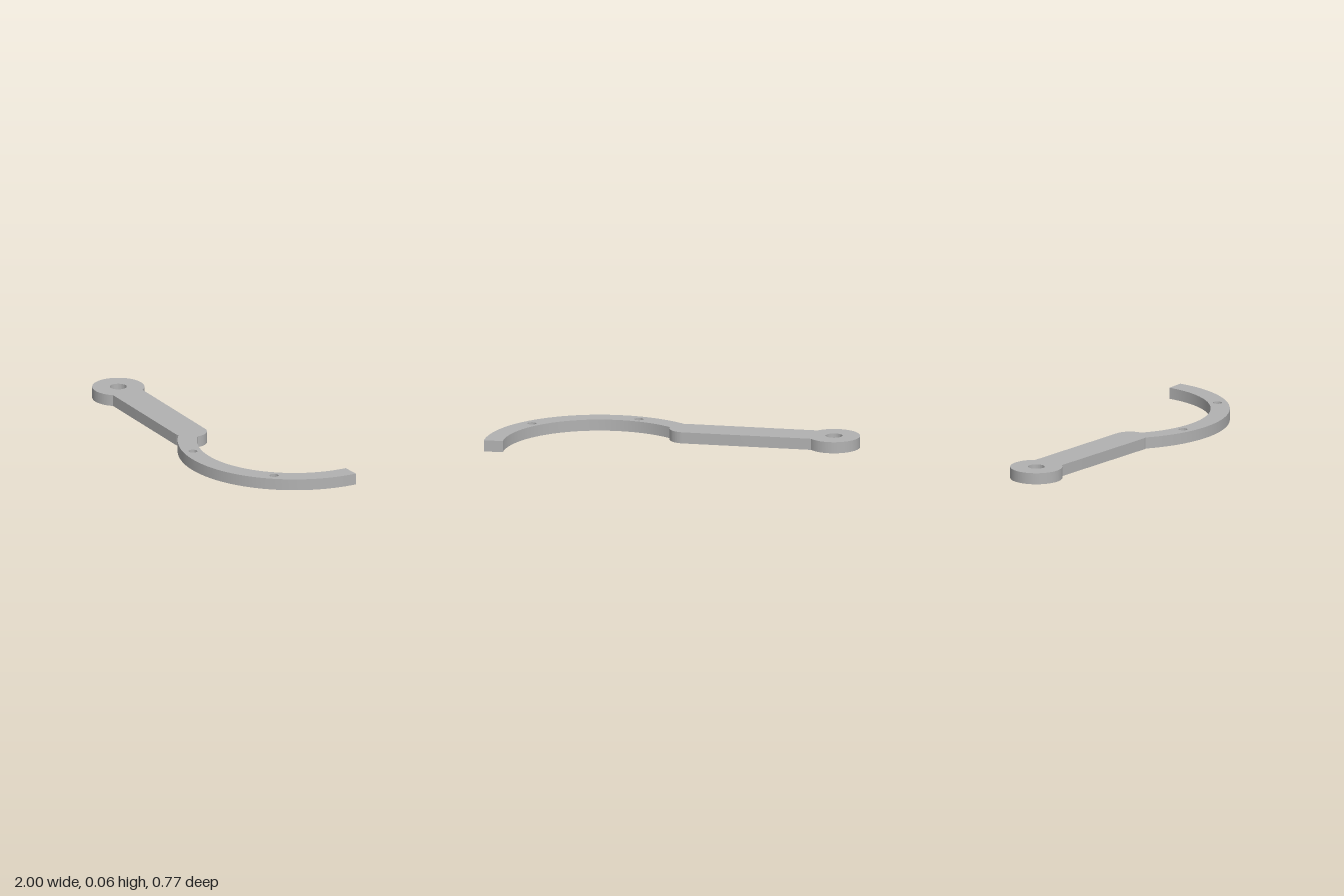
import * as THREE from 'three';
import { toCreasedNormals } from 'three/addons/utils/BufferGeometryUtils.js';

const THICKNESS = 0.061;
const eye = { x: -0.861, z: -0.247, r: 0.139, hole: 0.045 };   // pivot ring
const tip = { x: -0.107, z: 0.027, r: 0.089 };                 // rounded end of the bar
const hook = { x: 0.4, z: -0.238, inner: 0.52, outer: 0.622, end: 0.293 };

// Angles, seen from both centres, where the bar's rounded end meets a hook circle
function meet(radius, side) {
  const dx = tip.x - hook.x, dz = tip.z - hook.z;
  const d = Math.hypot(dx, dz);
  const spread = Math.acos((d * d + radius * radius - tip.r * tip.r) / (2 * d * radius));
  const onHook = Math.atan2(dz, dx) + side * spread;
  const px = hook.x + radius * Math.cos(onHook), pz = hook.z + radius * Math.sin(onHook);
  return { onHook, onTip: Math.atan2(pz - tip.z, px - tip.x) };
}

function circleHole(x, z, r) {
  return new THREE.Path().absarc(x, z, r, 0, Math.PI * 2, true);
}

export function createModel() {
  const group = new THREE.Group();
  group.name = 'hookedLever';
  const grey = new THREE.MeshStandardMaterial({ color: 0xb2b2b2 });
  grey.name = 'grey';

  // Outline in plan: pivot ring, straight bar, rounded end, curved hook
  const slope = Math.atan2(tip.z - eye.z, tip.x - eye.x);
  const neck = Math.asin(tip.r / eye.r);
  const inner = meet(hook.inner, -1), outer = meet(hook.outer, -1);
  const outline = new THREE.Shape();
  outline.absarc(eye.x, eye.z, eye.r, slope + neck, slope - neck + Math.PI * 2, false);
  outline.absarc(tip.x, tip.z, tip.r, slope - Math.PI / 2, inner.onTip, false);
  outline.absarc(hook.x, hook.z, hook.inner, inner.onHook, hook.end, true);
  outline.absarc(hook.x, hook.z, hook.outer, hook.end, outer.onHook, false);
  outline.absarc(tip.x, tip.z, tip.r, outer.onTip, slope + Math.PI / 2, false);
  outline.closePath();

  // Pivot bore and two small holes in the hook
  outline.holes.push(circleHole(eye.x, eye.z, eye.hole));
  for (const side of [-1, 1]) outline.holes.push(circleHole(hook.x + side * 0.288, 0.252, 0.024));

  const extruded = new THREE.ExtrudeGeometry(outline, {
    depth: THICKNESS, bevelEnabled: false, curveSegments: 56,
  });
  // Lay the plate flat on the ground
  extruded.rotateX(Math.PI / 2).translate(0, THICKNESS, 0);

  const plate = new THREE.Mesh(toCreasedNormals(extruded, 0.45), grey);
  plate.name = 'leverPlate';
  group.add(plate);
  return group;
}
